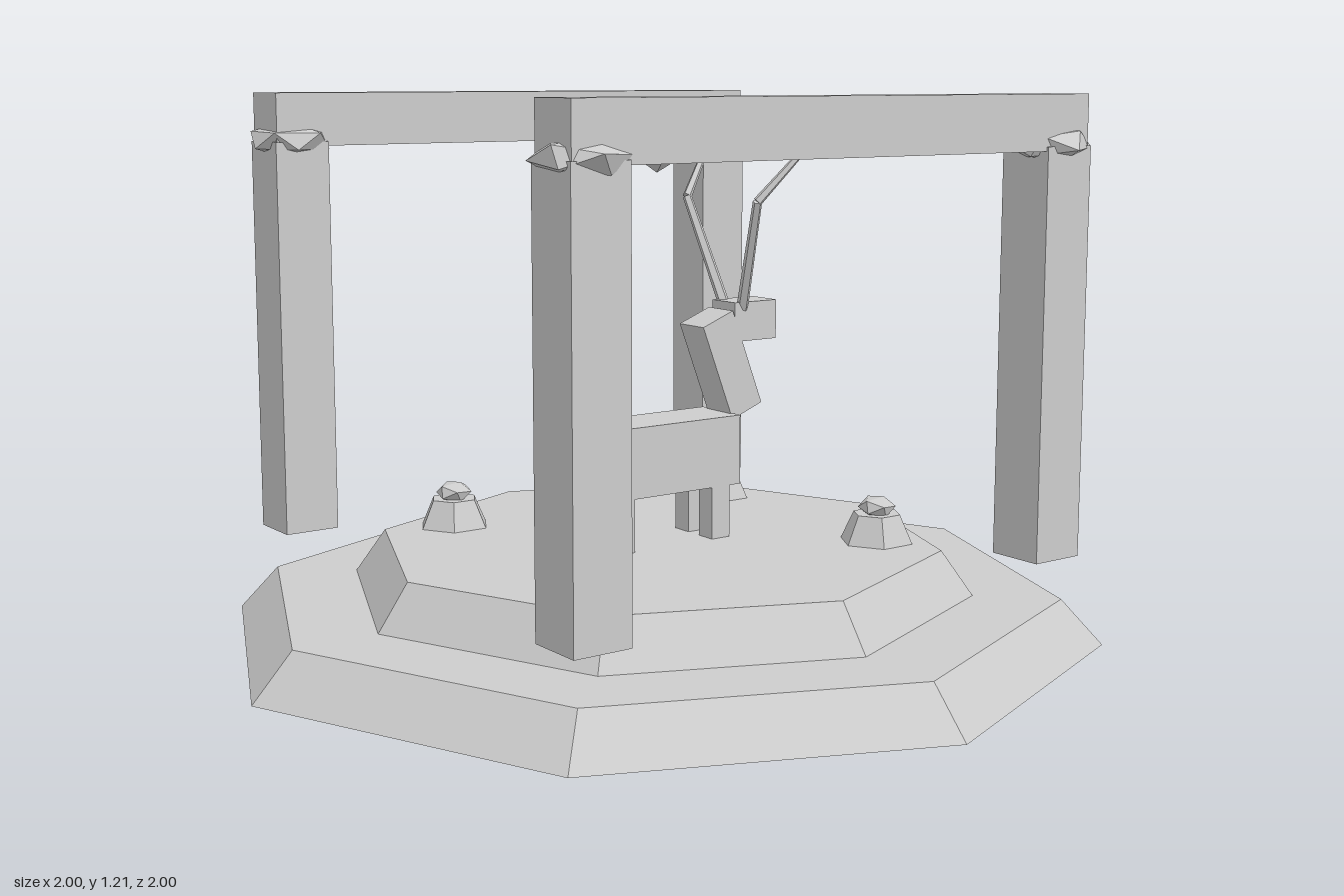
import * as THREE from 'three';

const stone = new THREE.MeshStandardMaterial({ color: 0xcccccc, flatShading: true });
stone.name = 'paleStone';

export function createModel() {
  const model = new THREE.Group();
  model.name = 'deerShrine';

  function add(name, geometry, x, y, z, parent = model) {
    const mesh = new THREE.Mesh(geometry, stone);
    mesh.name = name;
    mesh.position.set(x, y, z);
    parent.add(mesh);
    return mesh;
  }
  const box = (w, h, d) => new THREE.BoxGeometry(w, h, d);
  // icosahedron standing on one of its corners
  const gem = (r) => new THREE.IcosahedronGeometry(r, 0).rotateZ(-Math.atan(2 / (1 + Math.sqrt(5))));

  // stepped octagonal platform
  add('lowerStep', new THREE.CylinderGeometry(0.908, 1, 0.1, 8), 0, 0.05, 0);
  add('upperStep', new THREE.CylinderGeometry(0.643, 0.714, 0.1, 8), 0, 0.15, 0);

  // two gateways: pillars, faceted capitals and a beam
  for (const z of [-0.6, 0.6]) {
    for (const x of [-0.6, 0.6]) {
      add('pillar', box(0.13, 0.9, 0.13), x, 0.65, z);
      const tilt = 0.5 + 0.3 * Math.sign(x) + 0.15 * Math.sign(z);
      const capital = gem(0.1).rotateX(tilt).rotateY(tilt * 2).scale(1, 0.42, 1);
      add('capital', capital, x, 1.103, z);
    }
    add('beam', box(1.32, 0.12, 0.12), 0, 1.15, z);
  }

  // floating orb
  add('orb', gem(0.07), 0, 1.105, 0);

  // small hexagonal lanterns
  for (const [x, z] of [[-0.3, -0.4], [0.4, -0.3], [0.4, 0.3]]) {
    add('lanternBase', new THREE.CylinderGeometry(0.055, 0.085, 0.065, 6).rotateY(Math.PI / 6), x, 0.2325, z);
    add('lanternStone', gem(0.043).rotateX(0.4).rotateY(0.5).scale(1, 0.62, 1), x, 0.28, z);
  }

  // deer facing +x
  const deer = new THREE.Group();
  deer.name = 'deer';
  model.add(deer);
  add('body', box(0.37, 0.16, 0.14), 0, 0.4, 0, deer);
  for (const x of [-0.135, 0.13])
    for (const z of [-0.045, 0.045]) add('leg', box(0.05, 0.12, 0.05), x, 0.26, z, deer);
  add('neck', box(0.09, 0.235, 0.09), 0.182, 0.592, 0, deer).rotation.z = 0.37;
  add('head', box(0.12, 0.09, 0.085), 0.25, 0.69, 0, deer);

  // bent antlers, mirrored across z
  function branch(a, b, r0, r1) {
    const dir = b.clone().sub(a);
    const mid = a.clone().add(b).multiplyScalar(0.5);
    const mesh = add('antler', new THREE.CylinderGeometry(r1, r0, dir.length(), 5), mid.x, mid.y, mid.z, deer);
    mesh.quaternion.setFromUnitVectors(new THREE.Vector3(0, 1, 0), dir.normalize());
  }
  for (const s of [-1, 1]) {
    const root = new THREE.Vector3(0.218, 0.72, s * 0.033);
    const elbow = new THREE.Vector3(0.182, 0.97, s * 0.131);
    const tip = new THREE.Vector3(0.262, 1.068, s * 0.171);
    branch(root, elbow, 0.014, 0.011);
    branch(elbow, tip, 0.011, 0.008);
  }
  return model;
}
